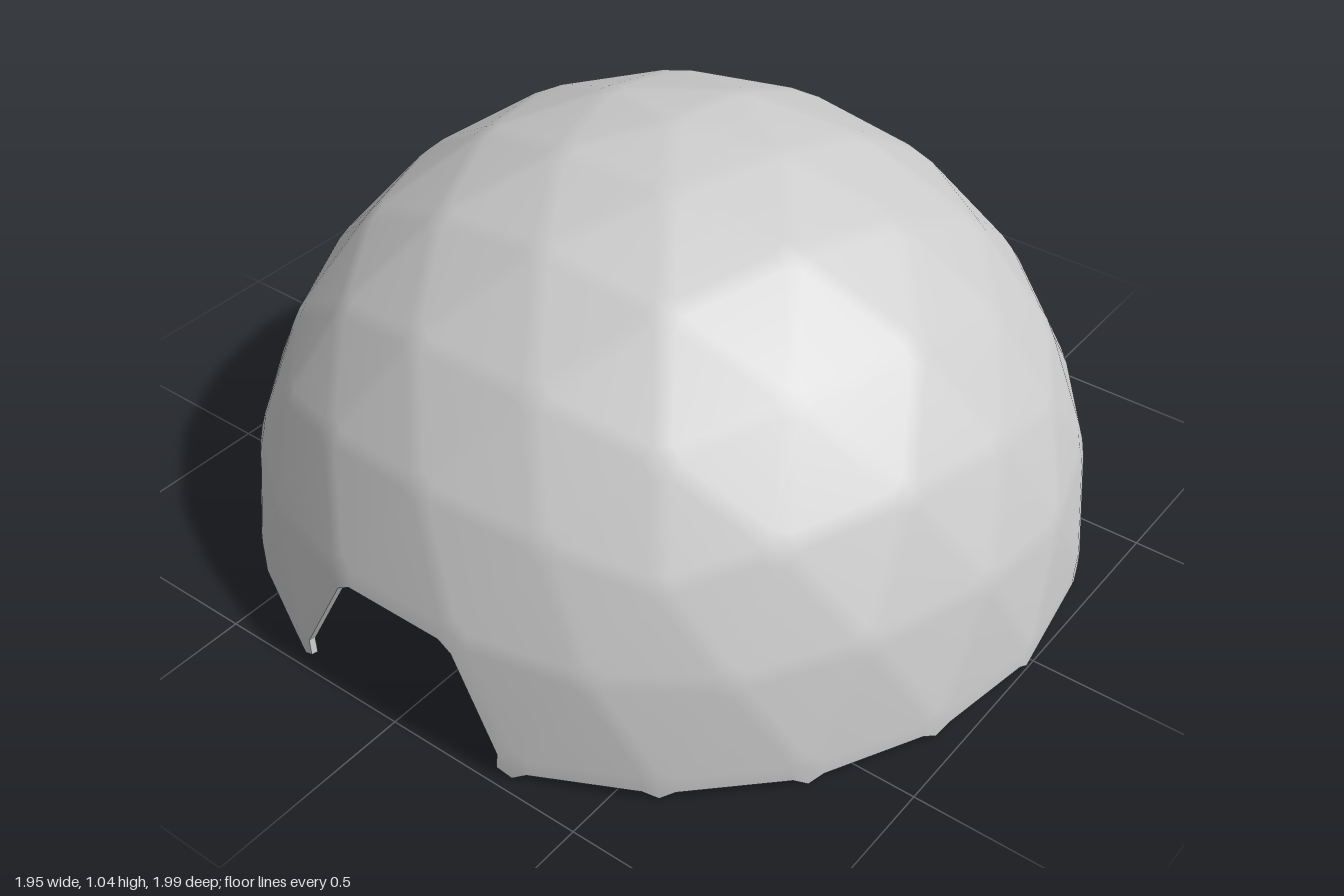
import * as THREE from 'three';

const FREQ = 4;         // subdivisions per icosahedron edge
const RADIUS = 1.003;
const STRIP = 0.02;     // half width of the strips between panels
const THICKNESS = 0.015;

// Icosahedron with a vertex straight up, as a list of 20 triangles
function icosahedronFaces() {
  const ring = (i, offset, y) => {
    const a = ((i * 72 + offset) * Math.PI) / 180, r = 2 / Math.sqrt(5);
    return new THREE.Vector3(Math.cos(a) * r, y, -Math.sin(a) * r);
  };
  const h = 1 / Math.sqrt(5);
  const top = new THREE.Vector3(0, 1, 0), bottom = new THREE.Vector3(0, -1, 0);
  const faces = [];
  for (let i = 0; i < 5; i++) {
    const u0 = ring(i, 0, h), u1 = ring(i + 1, 0, h);
    const l0 = ring(i, 36, -h), l1 = ring(i + 1, 36, -h);
    faces.push([top, u0, u1], [u0, l0, u1], [u1, l0, l1], [bottom, l1, l0]);
  }
  return faces;
}

// Geodesic sphere with shared points
function geodesicSphere() {
  const points = [], lookup = new Map(), faces = [];
  const addPoint = (p) => {
    p.normalize();
    const key = p.toArray().map((n) => Math.round(n * 1e4) + 0).join();
    if (!lookup.has(key)) lookup.set(key, points.push(p.multiplyScalar(RADIUS)) - 1);
    return lookup.get(key);
  };
  for (const [A, B, C] of icosahedronFaces()) {
    const at = (i, j) => addPoint(new THREE.Vector3()
      .addScaledVector(A, FREQ - i - j).addScaledVector(B, i).addScaledVector(C, j));
    for (let i = 0; i < FREQ; i++) {
      for (let j = 0; j < FREQ - i; j++) {
        faces.push([at(i, j), at(i + 1, j), at(i, j + 1)]);
        if (i + j < FREQ - 1) faces.push([at(i + 1, j), at(i + 1, j + 1), at(i, j + 1)]);
      }
    }
  }
  return { points, faces };
}

// Inset panels, strips along the edges and a small hub at each joint
function buildSkin() {
  const { points, faces } = geodesicSphere();
  const corners = [], index = [], edgeFace = new Map();

  faces.forEach((face, f) => {
    for (let k = 0; k < 3; k++) {
      const a = points[face[k]];
      const u = points[face[(k + 1) % 3]].clone().sub(a).normalize();
      const v = points[face[(k + 2) % 3]].clone().sub(a).normalize();
      corners.push(a.clone().addScaledVector(u.clone().add(v), STRIP / Math.sin(u.angleTo(v))));
      edgeFace.set(face[k] + ',' + face[(k + 1) % 3], f);
    }
  });
  const cornerOf = (f, v) => 3 * f + faces[f].indexOf(v);

  // Upper half only, without the three panels of the doorway
  const doorPoint = new THREE.Vector3(-RADIUS, 0, 0);
  const kept = faces.map((face) =>
    face.reduce((sum, v) => sum + points[v].y, 0) > 0.01 &&
    !face.some((v) => points[v].distanceTo(doorPoint) < 0.05));

  const doneEdges = new Set(), doneHubs = new Set();
  faces.forEach((face, f) => {
    if (!kept[f]) return;
    index.push(3 * f, 3 * f + 1, 3 * f + 2);
    for (let k = 0; k < 3; k++) {
      const a = face[k], b = face[(k + 1) % 3];
      // strip
      if (!doneEdges.has(b + ',' + a)) {
        doneEdges.add(a + ',' + b);
        const g = edgeFace.get(b + ',' + a);
        const fa = cornerOf(f, a), fb = cornerOf(f, b);
        const ga = cornerOf(g, a), gb = cornerOf(g, b);
        index.push(fa, ga, gb, fa, gb, fb);
      }
      // hub
      if (!doneHubs.has(a)) {
        doneHubs.add(a);
        const loop = [];
        let g = f;
        do {
          loop.push(cornerOf(g, a));
          const next = faces[g][(faces[g].indexOf(a) + 2) % 3];
          g = edgeFace.get(a + ',' + next);
        } while (g !== f);
        for (let i = 1; i < loop.length - 1; i++) index.push(loop[0], loop[i], loop[i + 1]);
      }
    }
  });
  return { corners, index };
}

function smoothGeometry(points, index) {
  const g = new THREE.BufferGeometry().setFromPoints(points);
  g.setIndex(index);
  g.computeVertexNormals();
  return g.toNonIndexed();
}

export function createModel() {
  const group = new THREE.Group();
  group.name = 'geodesicDome';
  const material = new THREE.MeshStandardMaterial({ color: 0xcccccc });
  const add = (name, geometry) => {
    const mesh = new THREE.Mesh(geometry, material);
    mesh.name = name;
    mesh.position.set(-0.02, 0.04, 0);
    group.add(mesh);
  };

  const { corners, index } = buildSkin();
  const inner = corners.map((p) => p.clone().multiplyScalar(1 - THICKNESS));
  add('outerShell', smoothGeometry(corners, index));
  add('innerShell', smoothGeometry(inner, index.slice().reverse()));

  // Rim closing the gap along the base and the doorway
  const edges = new Set();
  const eachEdge = (fn) => {
    for (let t = 0; t < index.length; t += 3)
      for (let k = 0; k < 3; k++) fn(index[t + k], index[t + ((k + 1) % 3)]);
  };
  eachEdge((a, b) => edges.add(a + ',' + b));
  const rim = [];
  eachEdge((a, b) => {
    if (edges.has(b + ',' + a)) return;
    rim.push(corners[b], corners[a], inner[a], corners[b], inner[a], inner[b]);
  });
  const rimGeometry = new THREE.BufferGeometry().setFromPoints(rim);
  rimGeometry.computeVertexNormals();
  add('rim', rimGeometry);

  return group;
}
